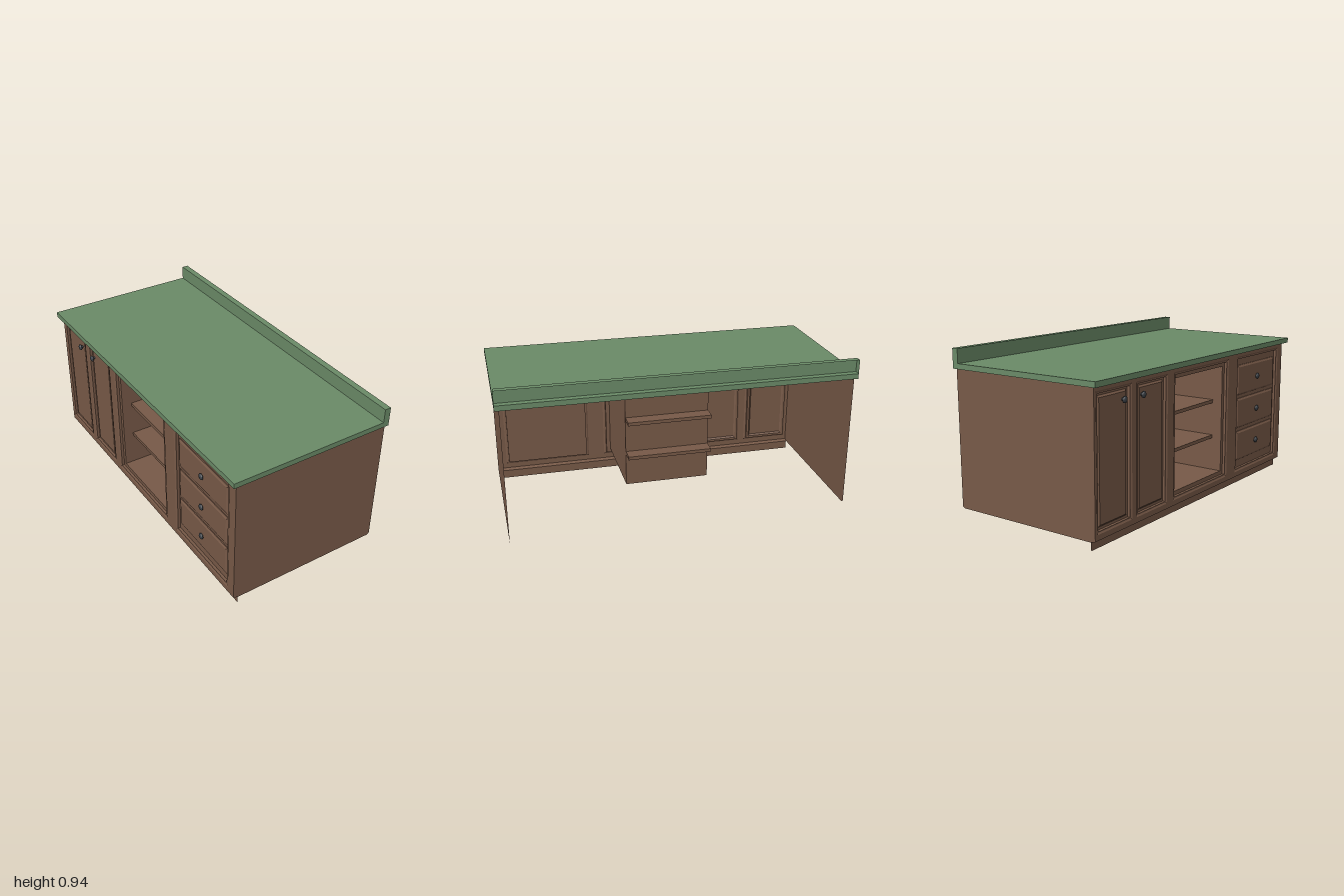
import * as THREE from 'three';

const wood = new THREE.MeshStandardMaterial({ color: 0x785a48, side: THREE.DoubleSide, flatShading: true });
const green = new THREE.MeshStandardMaterial({ color: 0x6b8b68, side: THREE.DoubleSide, flatShading: true });
const dark = new THREE.MeshStandardMaterial({ color: 0x3c4248 });

const FRONT = -0.45;   // face frame plane, looking toward -x
const RECESS = -0.43;  // plane of the sunken panels

function add(parent, name, geometry, material) {
  const mesh = new THREE.Mesh(geometry, material);
  mesh.name = name;
  parent.add(mesh);
  return mesh;
}

function box(parent, name, material, x0, x1, y0, y1, z0, z1) {
  const mesh = add(parent, name, new THREE.BoxGeometry(x1 - x0, y1 - y0, z1 - z0), material);
  mesh.position.set((x0 + x1) / 2, (y0 + y1) / 2, (z0 + z1) / 2);
  return mesh;
}

// Rectangle in the z-y plane, shrunk by inset
const rect = (r, inset = 0) => [
  [r[0] + inset, r[2] + inset], [r[1] - inset, r[2] + inset],
  [r[1] - inset, r[3] - inset], [r[0] + inset, r[3] - inset],
];

// Joins rectangles [r, inset, x] one after another, closing the last if asked
function loft(rings, cap) {
  const pos = [], index = [];
  for (const [r, inset, x] of rings) for (const [z, y] of rect(r, inset)) pos.push(x, y, z);
  for (let i = 0; i < rings.length - 1; i++) {
    for (let j = 0; j < 4; j++) {
      const a = i * 4 + j, b = i * 4 + (j + 1) % 4;
      index.push(a, b, b + 4, a, b + 4, a + 4);
    }
  }
  const e = (rings.length - 1) * 4;
  if (cap) index.push(e, e + 1, e + 2, e, e + 2, e + 3);
  const g = new THREE.BufferGeometry();
  g.setAttribute('position', new THREE.Float32BufferAttribute(pos, 3));
  g.setIndex(index);
  const flat = g.toNonIndexed();
  flat.computeVertexNormals();
  return flat;
}

const shapeOf = (pts) => new THREE.Shape(pts.map(([a, b]) => new THREE.Vector2(a, b)));

// Round knob with a narrow neck, pointing toward -x
function knob(parent, name, x, y, z) {
  const profile = [[0.008, 0], [0.007, 0.008], [0.017, 0.013], [0.018, 0.019], [0.012, 0.024], [0, 0.025]]
    .map(([r, h]) => new THREE.Vector2(r, h));
  const mesh = add(parent, name, new THREE.LatheGeometry(profile, 16), dark);
  mesh.rotation.z = Math.PI / 2;
  mesh.position.set(x, y, z);
}

export function createModel() {
  const model = new THREE.Group();
  model.name = 'counterCabinet';

  // Countertop and the splash rail, which is open at its back
  const top = new THREE.Group();
  top.name = 'countertop';
  model.add(top);
  box(top, 'counterSlab', green, -0.48, 0.48, 0.825, 0.855, -1, 1);
  const wall = add(top, 'splashWall', new THREE.PlaneGeometry(2, 0.08), green);
  wall.rotation.y = -Math.PI / 2;
  wall.position.set(0.443, 0.895, 0);
  const cover = add(top, 'splashTop', new THREE.PlaneGeometry(0.037, 2), green);
  cover.rotation.x = -Math.PI / 2;
  cover.position.set(0.4615, 0.935, 0);
  for (const s of [-1, 1]) {
    const end = add(top, 'splashEnd', new THREE.PlaneGeometry(0.037, 0.08), green);
    end.position.set(0.4615, 0.895, s);
    if (s < 0) end.rotation.y = Math.PI;
  }

  // End panels
  const panel = shapeOf([[-0.42, 0.047], [0.465, 0.047], [0.48, 0.055], [0.48, 0.825], [FRONT, 0.825], [FRONT, 0.055]]);
  for (const s of [-1, 1]) {
    const side = add(model, 'endPanel', new THREE.ShapeGeometry(panel), wood);
    side.position.z = s * 0.975;
  }

  // Face frame with openings for drawers, shelves and two doors: [z0, z1, y0, y1]
  const drawerBay = [0.39, 0.92, 0.085, 0.8];
  const shelfBay = [-0.29, 0.29, 0.085, 0.8];
  const doorBays = [[-0.63, -0.35, 0.085, 0.8], [-0.96, -0.67, 0.085, 0.8]];
  const frame = shapeOf(rect([-0.975, 0.975, 0.055, 0.825]));
  for (const r of [drawerBay, shelfBay, ...doorBays]) frame.holes.push(shapeOf(rect(r)));
  const face = add(model, 'faceFrame', new THREE.ShapeGeometry(frame), wood);
  face.rotation.y = -Math.PI / 2;
  face.position.x = FRONT;

  // Bottom lip and toe kick
  const lip = add(model, 'bottomLip', new THREE.PlaneGeometry(1.95, Math.hypot(0.03, 0.008)), wood);
  lip.rotation.set(0, -Math.PI / 2, 0);
  lip.rotateX(Math.atan2(0.03, 0.008));
  lip.position.set(-0.435, 0.051, 0);
  const kick = add(model, 'toeKick', new THREE.PlaneGeometry(1.94, 0.05), wood);
  kick.rotation.y = -Math.PI / 2;
  kick.position.set(-0.42, 0.025, 0);

  // Drawers: sunken back with three raised fronts
  add(model, 'drawerRecess', loft([[drawerBay, 0, FRONT], [drawerBay, 0.008, -0.446],
    [drawerBay, 0.016, -0.446], [drawerBay, 0.016, RECESS]], true), wood);
  for (const y of [0.24, 0.445, 0.65]) {
    const r = [0.42, 0.89, y - 0.092, y + 0.092];
    add(model, 'drawerFront', loft([[r, 0, RECESS], [r, 0, -0.435], [r, 0.012, -0.441]], true), wood);
    knob(model, 'drawerKnob', -0.432, y, 0.655);
  }

  // Doors: sunken border with a raised field
  doorBays.forEach((r, i) => {
    add(model, 'door', loft([[r, 0, FRONT], [r, 0.008, -0.446], [r, 0.014, -0.446], [r, 0.014, RECESS],
      [r, 0.028, RECESS], [r, 0.038, -0.438]], true), wood);
    knob(model, 'doorKnob', -0.438, 0.725, i ? -0.735 : -0.575);
  });

  // Open shelf compartment, a shell reaching inward from the frame
  const inner = [-0.25, 0.25, 0.125, 0.76];
  add(model, 'shelfCompartment', loft([[shelfBay, 0, FRONT], [shelfBay, 0.008, -0.446], [shelfBay, 0.016, -0.446],
    [shelfBay, 0.016, RECESS], [inner, 0, RECESS], [inner, 0, 0.09]], true), wood);
  for (const y of [0.33, 0.545]) {
    box(model, 'shelf', wood, -0.37, 0.17, y - 0.01, y + 0.01, -0.249, 0.249);
  }
  return model;
}
